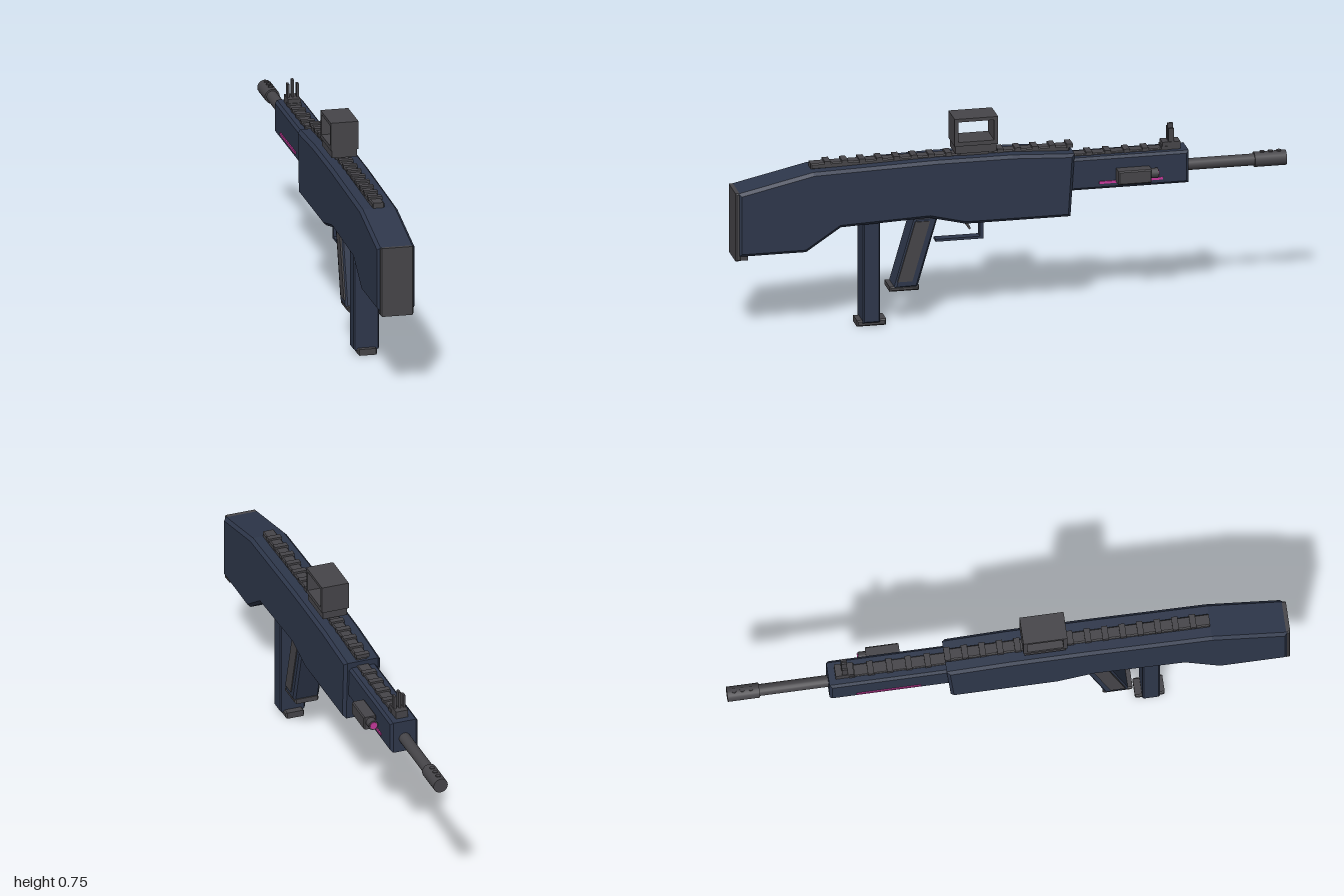
import * as THREE from 'three';

const CX = -0.017; // centre line of the model

export function createModel() {
  const model = new THREE.Group();
  const navy = new THREE.MeshStandardMaterial({ color: 0x2e374b, name: 'navy' });
  const grey = new THREE.MeshStandardMaterial({ color: 0x464549, name: 'grey' });
  const pink = new THREE.MeshStandardMaterial({ color: 0xc83a9c, name: 'pink' });

  const add = (name, geometry, material, x = 0, y = 0, z = 0) => {
    const mesh = new THREE.Mesh(geometry, material);
    mesh.name = name;
    mesh.position.set(x, y, z);
    model.add(mesh);
    return mesh;
  };
  // Box given by its limits on each axis
  const box = (name, material, [x0, x1], [y0, y1], [z0, z1]) =>
    add(name, new THREE.BoxGeometry(x1 - x0, y1 - y0, z1 - z0), material,
      (x0 + x1) / 2, (y0 + y1) / 2, (z0 + z1) / 2);
  const mid = (width) => [CX - width / 2, CX + width / 2];

  // Side outline of [z, y] points, extruded across x with chamfered edges
  const slab = (name, material, points, width, bevel, x = CX, hole) => {
    const shape = new THREE.Shape(points.map(([z, y]) => new THREE.Vector2(z, y)));
    if (hole) shape.holes.push(new THREE.Path(hole.map(([z, y]) => new THREE.Vector2(z, y))));
    const depth = width - 2 * bevel;
    const geometry = new THREE.ExtrudeGeometry(shape, {
      depth, bevelEnabled: bevel > 0, bevelThickness: bevel, bevelSize: bevel,
      bevelOffset: -bevel, bevelSegments: 1,
    });
    geometry.translate(0, 0, -depth / 2).rotateY(-Math.PI / 2);
    return add(name, geometry, material, x);
  };
  const rect = (z0, z1, y0, y1) => [[z0, y0], [z1, y0], [z1, y1], [z0, y1]];
  // Cylinder lying along z
  const rod = (name, material, radius, z0, z1, x, y, sides = 20) =>
    add(name, new THREE.CylinderGeometry(radius, radius, z1 - z0, sides).rotateX(Math.PI / 2),
      material, x, y, (z0 + z1) / 2);

  // Main body and shoulder plate
  slab('body', navy, [
    [0.99, 0.305], [0.99, 0.54], [0.72, 0.6], [0.28, 0.612], [0, 0.612], [-0.225, 0.6],
    [-0.21, 0.368], [0.17, 0.368], [0.3, 0.4], [0.62, 0.388], [0.745, 0.305],
  ], 0.137, 0.011);
  slab('buttPlate', grey, rect(0.98, 1, 0.288, 0.541), 0.12, 0.005);
  box('buttFoot', grey, mid(0.115), [0.29, 0.306], [0.955, 0.995]);

  // Handguard with glowing side strips
  slab('handguard', navy, rect(-0.64, -0.2, 0.458, 0.578), 0.103, 0.009);
  for (const side of [-1, 1]) {
    const x = CX + side * 0.0535;
    box('glowStrip', pink, [x - 0.002, x + 0.002], [0.479, 0.488], [-0.545, -0.315]);
  }

  // Top rails and their cross slats
  slab('bodyRail', grey, rect(-0.215, 0.72, 0.598, 0.619), 0.044, 0.004);
  slab('handguardRail', grey, rect(-0.61, -0.22, 0.572, 0.584), 0.044, 0.003);
  for (let i = 0; i < 15; i++) {
    const z = 0.66 - i * 0.0625;
    box('bodyRailSlat', grey, mid(0.05), [0.612, 0.626], [z - 0.011, z + 0.011]);
  }
  for (let i = 0; i < 5; i++) {
    const z = -0.285 - i * 0.068;
    box('handguardRailSlat', grey, mid(0.05), [0.578, 0.591], [z - 0.011, z + 0.011]);
  }

  // Sight housing, open from side to side
  box('sightClamp', grey, mid(0.053), [0.61, 0.628], [0.08, 0.18]);
  box('sightBase', grey, mid(0.09), [0.626, 0.66], [0.055, 0.203]);
  slab('sightHousing', grey, rect(0.05, 0.207, 0.655, 0.757), 0.101, 0, CX,
    rect(0.064, 0.193, 0.67, 0.745).reverse());

  // Front sight with three prongs
  box('frontSightBase', grey, mid(0.046), [0.577, 0.606], [-0.615, -0.55]);
  for (const [dx, top] of [[-0.017, 0.655], [0, 0.67], [0.017, 0.655]]) {
    box('frontSightProng', grey, [CX + dx - 0.004, CX + dx + 0.004], [0.6, top], [-0.592, -0.572]);
  }

  // Barrel and muzzle
  rod('barrel', grey, 0.021, -0.93, -0.62, CX, 0.51);
  rod('muzzle', grey, 0.027, -1, -0.885, CX, 0.51);
  for (const z of [-0.975, -0.945, -0.915]) {
    add('muzzlePort', new THREE.CylinderGeometry(0.009, 0.009, 0.008, 12), grey, CX, 0.536, z);
  }

  // Side pointer on the handguard
  slab('pointerBox', grey, rect(-0.495, -0.375, 0.484, 0.534), 0.048, 0.004, 0.058);
  rod('pointerNozzle', grey, 0.018, -0.522, -0.49, 0.056, 0.512, 16);
  rod('pointerLens', pink, 0.013, -0.525, -0.521, 0.056, 0.512, 16);

  // Magazine
  slab('magazine', navy, rect(0.475, 0.537, 0.018, 0.4), 0.094, 0.005);
  slab('magazineBase', grey, rect(0.45, 0.556, 0.003, 0.026), 0.07, 0.005);

  // Slanted grip with side panels
  slab('grip', navy, [[0.425, 0.14], [0.34, 0.14], [0.265, 0.4], [0.35, 0.4]], 0.097, 0.008);
  for (const side of [-1, 1]) {
    slab('gripPanel', grey, [[0.413, 0.165], [0.36, 0.165], [0.296, 0.385], [0.349, 0.385]],
      0.008, 0, CX + side * 0.048);
  }
  slab('gripBase', grey, rect(0.334, 0.44, 0.128, 0.146), 0.09, 0.005);

  // Trigger and its guard
  slab('triggerGuard', navy, [
    [0.268, 0.294], [0.268, 0.303], [0.108, 0.303], [0.108, 0.38], [0.096, 0.38], [0.096, 0.294],
  ], 0.034, 0);
  slab('trigger', grey, [[0.163, 0.38], [0.157, 0.345], [0.145, 0.328], [0.139, 0.332],
    [0.148, 0.35], [0.148, 0.38]], 0.016, 0);

  return model;
}
